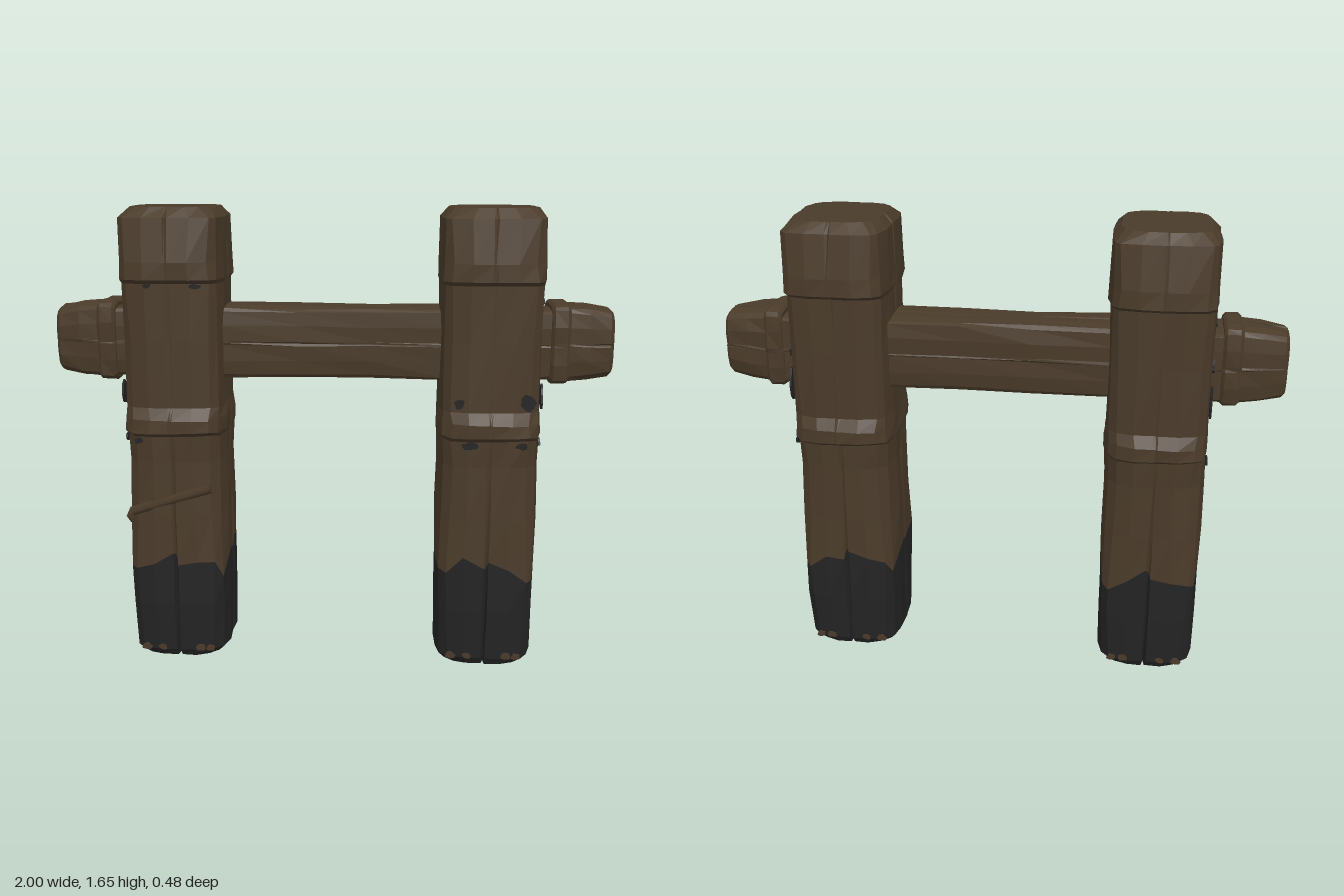
import * as THREE from 'three';

const wood = new THREE.MeshStandardMaterial({ color: 0x4a3b2a });
wood.name = 'dark wood';
const tar = new THREE.MeshStandardMaterial({ color: 0x242424 });
tar.name = 'black tar';

// small seeded noise in -1..1
const noise = (n) => {
  const s = Math.sin(n * 127.1 + 11.7) * 43758.5453;
  return (s - Math.floor(s)) * 2 - 1;
};

const STEPS = [-1, -0.55, -0.06, 0, 0.06, 0.55, 1];

// Rounded-off rectangular ring around y, with an optional split in the middle of each face
function ring({ y, hx, hz, c = 0.03, crack = 0, sideCrack = 0, dz = 0, wave = 0, tilt = 0 }, seed) {
  const pts = [];
  for (let side = 0; side < 4; side++) {
    const along = side % 2 ? hz : hx, out = side % 2 ? hx : hz;
    STEPS.forEach((s, k) => {
      const t = s * (along - c);
      const depth = k === 3 ? (side % 2 ? sideCrack : crack) : 0;
      const o = out - depth - (Math.abs(s) === 1 ? c * 0.35 : 0);
      const [x, z] = [[t, o], [o, -t], [-t, -o], [-o, t]][side];
      const n = seed * 31 + side * 7 + k;
      const drop = wave * (noise(n + 5) * 0.8 - (Math.abs(s) === 1 ? 1.2 : 0));
      pts.push(new THREE.Vector3(x + noise(n) * 0.003, y + drop + tilt * t, z + dz + noise(n + 400) * 0.003));
    });
  }
  return pts;
}

// Skin consecutive rings, closing the ends on request; faces stay flat
function loft(rings, capBottom, capTop) {
  const pos = [], n = rings[0].length;
  const tri = (...v) => v.forEach((p) => pos.push(p.x, p.y, p.z));
  for (let j = 0; j < rings.length - 1; j++) {
    for (let i = 0; i < n; i++) {
      const k = (i + 1) % n;
      tri(rings[j][i], rings[j][k], rings[j + 1][k]);
      tri(rings[j][i], rings[j + 1][k], rings[j + 1][i]);
    }
  }
  const cap = (r, up) => {
    const mid = r.reduce((a, p) => a.add(p), new THREE.Vector3()).divideScalar(n);
    for (let i = 0; i < n; i++) {
      const k = (i + 1) % n;
      if (up) tri(mid, r[i], r[k]); else tri(mid, r[k], r[i]);
    }
  };
  if (capBottom) cap(rings[0], false);
  if (capTop) cap(rings[rings.length - 1], true);
  const g = new THREE.BufferGeometry();
  g.setAttribute('position', new THREE.Float32BufferAttribute(pos, 3));
  g.computeVertexNormals();
  return g;
}

function add(parent, name, geometry, material) {
  const m = new THREE.Mesh(geometry, material);
  m.name = name;
  parent.add(m);
  return m;
}

// Thin ragged blot lying on a face; turn = rotation about y
function blot(parent, name, material, x, y, z, w, h, turn, seed) {
  const s = new THREE.Shape();
  for (let i = 0; i < 9; i++) {
    const a = (i / 9) * Math.PI * 2, r = 1 + 0.25 * noise(seed * 13 + i);
    s[i ? 'lineTo' : 'moveTo'](Math.cos(a) * w * r / 2, Math.sin(a) * h * r / 2);
  }
  const m = add(parent, name, new THREE.ExtrudeGeometry(s, { depth: 0.007, bevelEnabled: false }), material);
  m.position.set(x, y, z);
  m.rotation.y = turn;
}

// Hewn post profile; the ring with "wave" is the paint line
const POST = [
  { y: 0.008, hx: 0.16, hz: 0.185, c: 0.05, crack: 0.03, sideCrack: 0.02 },
  { y: 0.035, hx: 0.177, hz: 0.2, c: 0.045, crack: 0.03, sideCrack: 0.02 },
  { y: 0.22, hx: 0.181, hz: 0.209, c: 0.04, crack: 0.025, sideCrack: 0.012 },
  { y: 0.4, hx: 0.181, hz: 0.209, c: 0.035, crack: 0.015, wave: 0.04 },
  { y: 0.56, hx: 0.181, hz: 0.205, c: 0.045, crack: 0.01 },
  { y: 0.76, hx: 0.179, hz: 0.2, c: 0.05, crack: 0.006 },
  { y: 0.855, hx: 0.18, hz: 0.202, c: 0.045, tilt: 0.02 },
  { y: 0.872, hx: 0.183, hz: 0.23, c: 0.045, tilt: 0.02 },
  { y: 0.918, hx: 0.183, hz: 0.23, c: 0.05, tilt: -0.02 },
  { y: 0.96, hx: 0.18, hz: 0.206, c: 0.04 },
  { y: 1.2, hx: 0.18, hz: 0.204, c: 0.04 },
  { y: 1.4, hx: 0.181, hz: 0.204, c: 0.035 },
  { y: 1.415, hx: 0.185, hz: 0.232, c: 0.04 },
  { y: 1.475, hx: 0.185, hz: 0.23, c: 0.045 },
  { y: 1.625, hx: 0.18, hz: 0.208, c: 0.03, crack: 0.006, sideCrack: 0.012 },
  { y: 1.66, hx: 0.152, hz: 0.172, c: 0.04, crack: 0.006, sideCrack: 0.012 },
];
const PAINT = POST.findIndex((r) => r.wave);

function post(name, side) {
  const g = new THREE.Group();
  g.name = name;
  g.position.x = side * 0.565;
  const rings = POST.map((r, j) => ring({ ...r, dz: side * 0.004 }, j + (side > 0 ? 50 : 90)));
  add(g, 'tarredFoot', loft(rings.slice(0, PAINT + 1), true, false), tar);
  add(g, 'postShaft', loft(rings.slice(PAINT), false, true), wood);
  // tar blots on the outer face, around the beam hole
  [[0.12, 1.0, 0.06, 0.09], [-0.13, 1.06, 0.05, 0.11], [-0.1, 1.02, 0.06, 0.04], [0.1, 0.835, 0.05, 0.03],
    [-0.11, 0.835, 0.06, 0.03], [0.05, 1.335, 0.07, 0.025], [-0.06, 1.33, 0.06, 0.025], [-0.11, 1.19, 0.03, 0.06],
  ].forEach(([z, y, w, h], i) => blot(g, 'sideBlot', tar, side * 0.178, y, z, w, h, side * Math.PI / 2, i + 1));
  // tar blots on the front
  const front = side > 0
    ? [[-0.11, 0.99, 0.04, 0.035], [0.13, 1.0, 0.05, 0.06], [-0.07, 0.842, 0.06, 0.025], [0.11, 0.842, 0.04, 0.025]]
    : [[-0.07, 1.393, 0.03, 0.018], [0.1, 1.393, 0.04, 0.018], [-0.12, 0.842, 0.03, 0.02]];
  front.forEach(([x, y, w, h], i) => blot(g, 'frontBlot', tar, x, y, 0.203 + side * 0.004, w, h, 0, i + 20));
  // bare chips round the bottom edge
  [-0.12, -0.06, 0.08, 0.12].forEach((x, i) => [1, -1].forEach((f) =>
    blot(g, 'bareChip', wood, x, 0.045, f * 0.197 + side * 0.004, 0.035, 0.025, f > 0 ? 0 : Math.PI, i + 40)));
  return g;
}

// Rings along the beam: distance from the middle first
const beamLoft = (list, seed) =>
  loft(list.map(([y, hx, hz, c = 0.015, dz = 0]) => ring({ y, hx, hz, c, dz }, seed + Math.round(y * 50))), true, true)
    .rotateZ(-Math.PI / 2);

export function createModel() {
  const model = new THREE.Group();
  model.name = 'hitchingFrame';
  const right = post('rightPost', -1);
  model.add(post('leftPost', 1), right);

  // slanted splinter ledge on the right post
  const ledge = add(right, 'splinterLedge', new THREE.CylinderGeometry(0.018, 0.018, 0.3, 5), wood);
  ledge.rotation.z = -Math.PI / 2 + 0.3;
  ledge.position.set(-0.01, 0.62, 0.192);
  const knot = add(right, 'sideKnot', new THREE.IcosahedronGeometry(0.035, 0), wood);
  knot.position.set(-0.16, 0.54, 0.13);

  // crossbeam through both posts
  const beam = add(model, 'crossbeam', beamLoft([
    [-0.78, 0.126, 0.11], [-0.4, 0.13, 0.112], [-0.12, 0.128, 0.106],
    [0.14, 0.127, 0.104], [0.4, 0.13, 0.112], [0.78, 0.126, 0.11],
  ], 200), wood);
  beam.position.set(0, 1.18, -0.006);

  // collars and tapered ends
  [1, -1].forEach((s) => {
    const end = new THREE.Group();
    end.name = s > 0 ? 'leftBeamEnd' : 'rightBeamEnd';
    end.position.set(0, 1.184, -0.004);
    end.rotation.y = s > 0 ? 0 : Math.PI;
    add(end, 'collar', beamLoft([
      [0.775, 0.136, 0.118, 0.02], [0.785, 0.144, 0.128, 0.02], [0.83, 0.144, 0.126, 0.02], [0.842, 0.134, 0.116, 0.02],
    ], s > 0 ? 300 : 340), wood);
    add(end, 'beamTip', beamLoft([
      [0.83, 0.134, 0.115, 0.02], [0.91, 0.132, 0.108, 0.025], [0.985, 0.12, 0.095, 0.025], [0.998, 0.108, 0.083, 0.025],
    ], s > 0 ? 400 : 440), wood);
    model.add(end);
  });
  return model;
}
